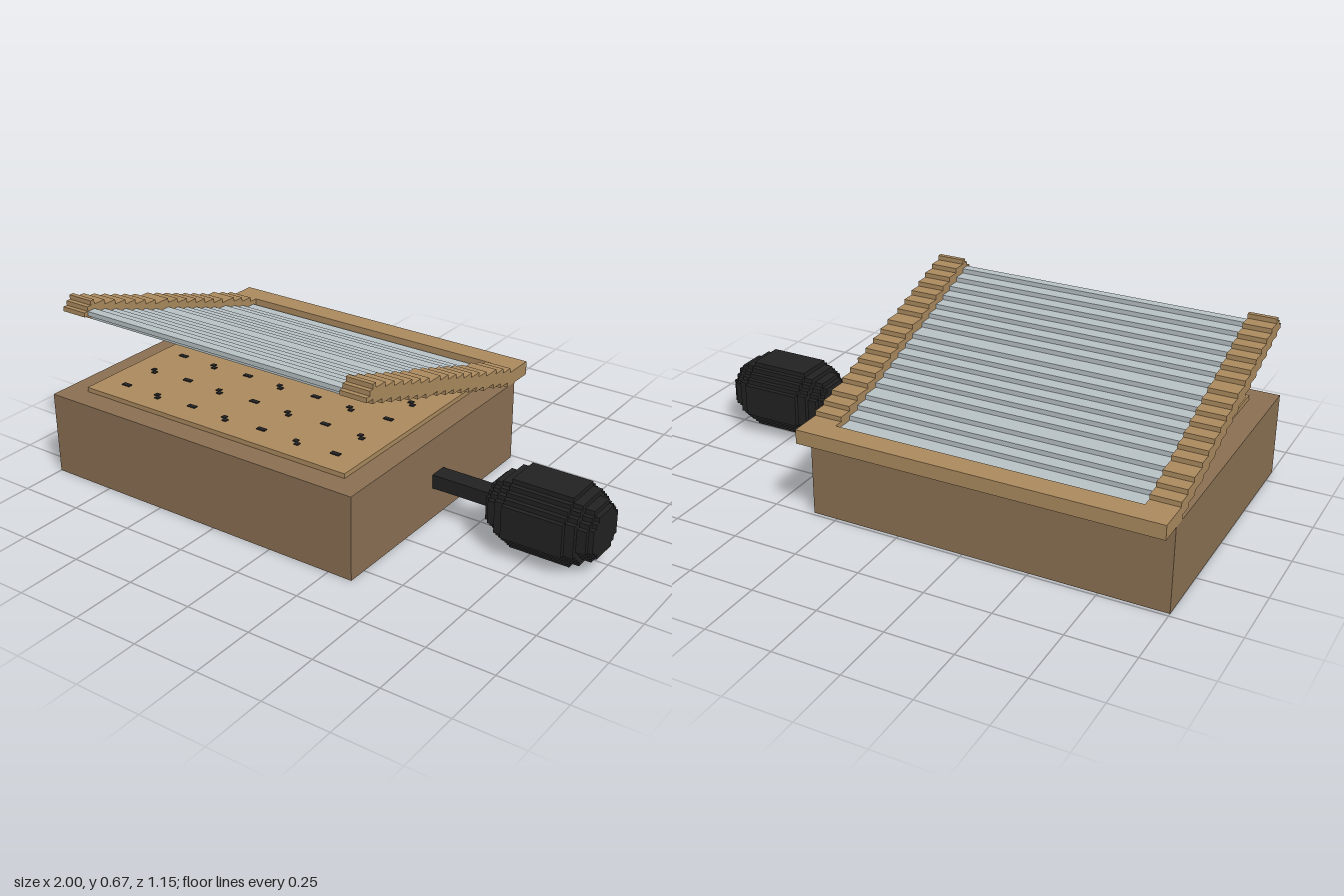
import * as THREE from 'three';

const U = 2 / 113; // one small cube of the stepped style

function material(name, color) {
  const m = new THREE.MeshStandardMaterial({ color });
  m.name = name;
  return m;
}

export function createModel() {
  const wood = material('brown wood', 0x8b7053);
  const tan = material('tan wood', 0xab8a5e);
  const glass = material('pale glass', 0xb8c1c5);
  const black = material('black', 0x222222);

  const model = new THREE.Group();
  model.name = 'boxWithLid';
  model.scale.setScalar(U);

  function add(name, geometry, mat, parent = model) {
    const mesh = new THREE.Mesh(geometry, mat);
    mesh.name = name;
    parent.add(mesh);
    return mesh;
  }
  // Box given by its low and high corners
  function block(name, mat, [x0, y0, z0], [x1, y1, z1], parent) {
    const g = new THREE.BoxGeometry(x1 - x0, y1 - y0, z1 - z0);
    g.translate((x0 + x1) / 2, (y0 + y1) / 2, (z0 + z1) / 2);
    return add(name, g, mat, parent);
  }
  function group(name) {
    const g = new THREE.Group();
    g.name = name;
    model.add(g);
    return g;
  }

  // Body and raised board
  block('body', wood, [-56.5, 0, -27.5], [19.5, 18, 32.5]);
  block('board', tan, [-51.5, 18, -22.5], [14.5, 19, 27.5]);

  // Dark specks in rows on the board
  const specks = group('specks');
  for (let i = 0; i < 7; i++) {
    for (let j = 0; j < 5; j++) {
      const x = -46.5 + 9 * i, z = 21.5 - 9 * j, s = (i + j) % 2;
      block('speck', black, [x, 19, z], [x + 1, 19.2, z + 1], specks);
      block('speck', black, [x + 1, 19, z + s], [x + 2, 19.2, z + s + 1], specks);
    }
  }

  // Open lid: rear bar and two stepped side rails
  const lid = group('lid');
  block('rearBar', tan, [-56.5, 18, -32.5], [19.5, 21, -27.5], lid);

  const edges = [-25.5, -22.5, -19.5];
  for (let z = -15.5; z <= 21.5; z += 3) {
    if (z === 5.5) z = 6.5;
    edges.push(z);
  }
  const profile = [[-27.5, 18], [-27.5, 21]];
  edges.forEach((z, i) => profile.push([z, 21 + i], [z, 22 + i]));
  profile.push([24.5, 37], [24.5, 38], [25.5, 38], [25.5, 37], [26.5, 37],
    [26.5, 36], [27.5, 36], [27.5, 35], [25.5, 35], [25.5, 34]);
  for (let i = edges.length - 1; i >= 0; i--) {
    profile.push([edges[i] + 1, 19 + i], [edges[i] + 1, 18 + i]);
  }
  const railShape = new THREE.Shape(profile.map(([z, y]) => new THREE.Vector2(z, y)));
  for (const [name, x] of [['rightRail', -56.5], ['leftRail', 13.5]]) {
    const g = new THREE.ExtrudeGeometry(railShape, { depth: 6, bevelEnabled: false });
    g.rotateY(-Math.PI / 2).translate(x + 6, 0, 0);
    add(name, g, tan, lid);
  }

  // Stepped glass pane, each strip overlapping the next by one unit
  const pane = [-27.5, -26.5, -22.5, -19.5, -16.5, -12.5, ...edges.filter((z) => z > -12), 24.5, 26.5];
  for (let i = 0; i < pane.length - 1; i++) {
    const back = pane[i], front = Math.min(pane[i + 1] + 1, 26.5);
    block('glassStrip', glass, [-50.5, 18 + i, back], [13.5, 19 + i, front], lid);
  }

  // Handle rod and stepped knob
  block('handleRod', black, [19.5, 7, 0.5], [34, 10, 4.5]);
  const knob = group('knob');
  const slices = [[1, 4.5], [2, 5.5], [2, 6.5], [13, 7.5], [2, 6.5], [2, 5.5], [1, 4.5]];
  let x = 33.5;
  for (const [length, r] of slices) {
    // Octagonal outline with stepped corners
    const side = [];
    for (let dy = -(r - 0.5); dy <= r - 0.5; dy++) {
      const w = Math.min(r + 0.5, Math.round(r * 1.4 + 0.5) - Math.abs(dy));
      side.push([w, dy - 0.5], [w, dy + 0.5]);
    }
    const outline = side.concat(side.map(([w, y]) => [-w, y]).reverse());
    const shape = new THREE.Shape(outline.map(([w, y]) => new THREE.Vector2(w, y)));
    const g = new THREE.ExtrudeGeometry(shape, { depth: length, bevelEnabled: false });
    g.rotateY(-Math.PI / 2).translate(x + length, 8.5, 2.5);
    add('knobSlice', g, black, knob);
    x += length;
  }
  return model;
}
